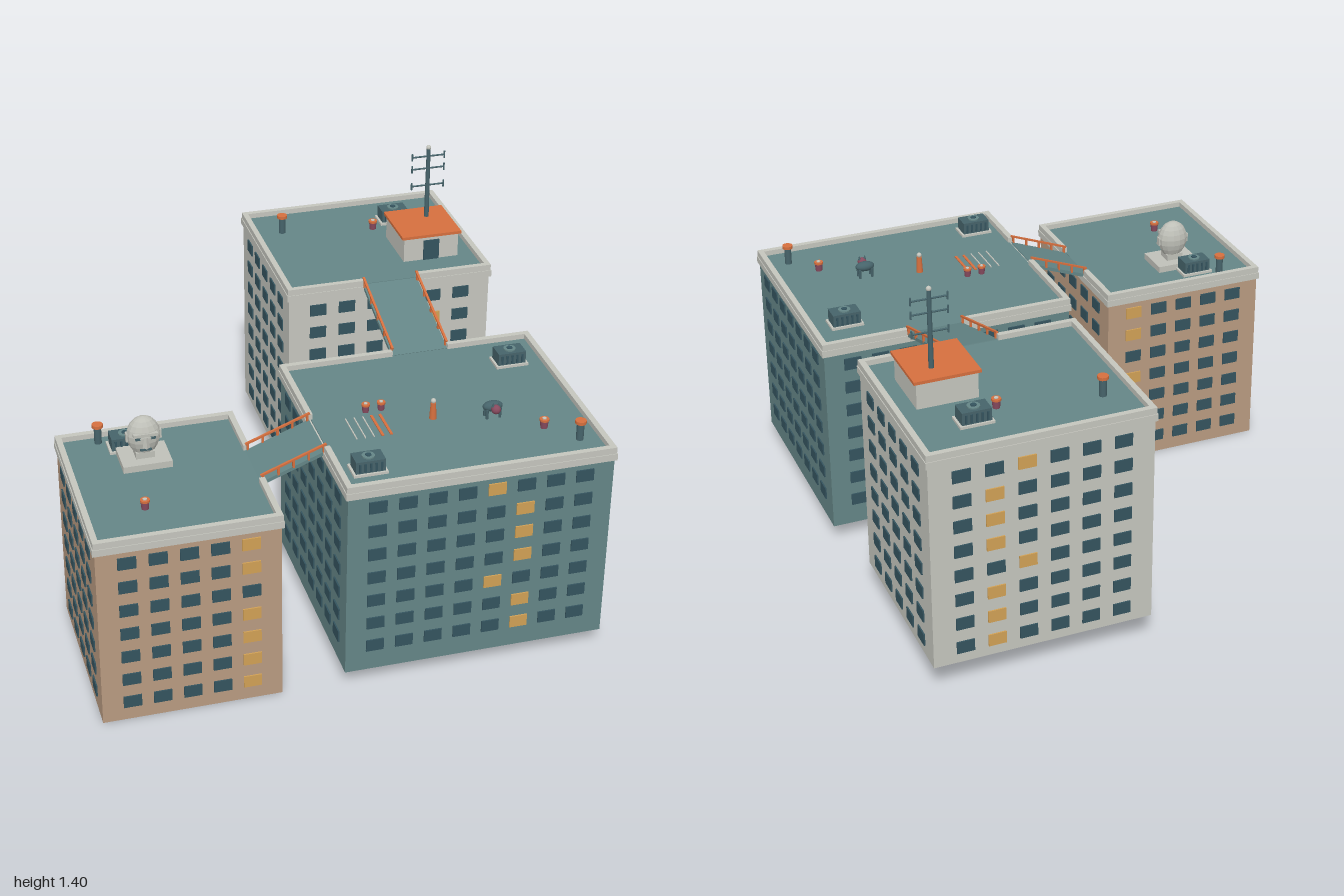
import * as THREE from 'three';

const mat = (name, color, flat = false) => Object.assign(new THREE.MeshStandardMaterial({ color, flatShading: flat }), { name });

export function createModel() {
  const root = new THREE.Group();
  root.name = 'rooftopBlocks';
  const M = {
    teal: mat('teal', 0x648586), tan: mat('tan', 0xb89a80), pale: mat('pale', 0xc4c5bd),
    stone: mat('stone', 0xbfc0b8, true), slate: mat('windowSlate', 0x34535e), amber: mat('litAmber', 0xd0a055),
    orange: mat('orange', 0xd56f3e), steel: mat('steel', 0x46636a), mauve: mat('mauve', 0x874a5e),
  };
  const group = (name, x = 0, y = 0, z = 0, parent = root) => {
    const g = new THREE.Group();
    g.name = name;
    g.position.set(x, y, z);
    parent.add(g);
    return g;
  };
  const add = (parent, name, geo, m, x, y, z) => {
    const mesh = new THREE.Mesh(geo, m);
    mesh.name = name;
    mesh.position.set(x, y, z);
    parent.add(mesh);
    return mesh;
  };
  const box = (p, name, m, w, h, d, x, y, z) => add(p, name, new THREE.BoxGeometry(w, h, d), m, x, y, z);
  const rod = (p, name, m, r, h, x, y, z, r2 = r, n = 12) => add(p, name, new THREE.CylinderGeometry(r2, r, h, n), m, x, y, z);
  const ball = (p, name, m, r, x, y, z, sx = 1, sy = 1, sz = 1) => {
    const b = add(p, name, new THREE.SphereGeometry(r, 14, 10), m, x, y, z);
    b.scale.set(sx, sy, sz);
    return b;
  };
  // box stretched from point a to point b
  const beam = (p, name, m, w, h, a, b) => {
    const mesh = box(p, name, m, w, h, a.distanceTo(b), 0, 0, 0);
    mesh.position.lerpVectors(a, b, 0.5);
    mesh.lookAt(b);
    return mesh;
  };

  // apartment block: walls, window grid, cornice and parapet with bridge gaps
  function block(o) {
    const [x0, x1] = o.x, [z0, z1] = o.z, w = x1 - x0, d = z1 - z0;
    const g = group(o.name, (x0 + x1) / 2, 0, (z0 + z1) / 2);
    box(g, 'walls', o.mat, w, o.roof - o.base, d, 0, (o.base + o.roof) / 2 - 0.005, 0).scale.y = 1 - 0.01 / (o.roof - o.base);
    g.children[0].position.y = (o.base + o.roof - 0.01) / 2;
    box(g, 'cornice', M.pale, w + 0.016, 0.027, d + 0.016, 0, o.roof - 0.0135, 0);
    box(g, 'roof', M.teal, w - 0.02, 0.004, d - 0.02, 0, o.roof + 0.002, 0);
    for (let s = 0; s < 4; s++) {
      const face = group('side', 0, 0, 0, g), alongX = s % 2 === 0;
      face.rotation.y = s * Math.PI / 2;
      const len = alongX ? w : d, off = (alongX ? d : w) / 2, n = alongX ? o.cols[0] : o.cols[1];
      for (let r = 0; r < o.rows; r++) for (let c = 0; c < n; c++) {
        const xi = s === 2 ? n - 1 - c : c;
        const lit = alongX && o.lit[r] === xi;
        box(face, lit ? 'litWindow' : 'window', lit ? M.amber : M.slate, 0.067, 0.048, 0.009,
          len * ((c + 1) / (n + 1) - 0.5), o.firstRow + 0.1 * (o.rows - 1 - r), off + 0.001);
      }
      // parapet runs, broken where a bridge lands
      const h = len / 2 + 0.005, gap = o.gaps[s];
      const runs = gap === undefined ? [[-h, h]] : [[-h, gap - 0.112], [gap + 0.112, h]];
      for (const [a, b] of runs) box(face, 'parapet', M.pale, b - a, 0.025, 0.022, (a + b) / 2, o.roof + 0.0125, off - 0.006);
    }
  }
  block({ name: 'tanBlock', mat: M.tan, x: [-0.952, -0.285], z: [0.238, 0.962], base: 0, roof: 0.755, cols: [5, 5],
    rows: 7, firstRow: 0.079, lit: [4, 4, -1, 4, 4, 4, 4], gaps: { 1: 0.003 } });
  block({ name: 'tealBlock', mat: M.teal, x: [-0.055, 0.945], z: [0.103, 0.992], base: 0.065, roof: 0.847, cols: [8, 7],
    rows: 7, firstRow: 0.172, lit: [4, 5, 5, 5, 4, 5, 5], gaps: { 2: -0.055, 3: 0.05 } });
  block({ name: 'paleBlock', mat: M.pale, x: [0.08, 0.918], z: [-0.991, -0.268], base: 0.118, roof: 0.963, cols: [6, 5],
    rows: 8, firstRow: 0.182, lit: [3, 4, 4, 4, 3, 4, 4, 4], gaps: { 0: 0.001 } });

  // sloping bridges with railings
  function bridge(name, a, b) {
    const g = group(name), side = new THREE.Vector3().subVectors(b, a).setY(0).normalize();
    side.set(-side.z, 0, side.x).multiplyScalar(0.11);
    const up = y => new THREE.Vector3(0, y, 0);
    beam(g, 'deck', M.teal, 0.225, 0.014, a.clone().add(up(-0.005)), b.clone().add(up(-0.005)));
    for (const s of [-1, 1]) {
      const o = side.clone().multiplyScalar(s).add(up(0.03));
      beam(g, 'handrail', M.orange, 0.009, 0.007, a.clone().add(o), b.clone().add(o));
      for (let i = 0; i < 5; i++) {
        const p = a.clone().lerp(b, 0.04 + 0.23 * i).add(o);
        box(g, 'railPost', M.orange, 0.008, 0.034, 0.008, p.x, p.y - 0.016, p.z);
      }
    }
  }
  bridge('lowBridge', new THREE.Vector3(-0.295, 0.756, 0.597), new THREE.Vector3(-0.05, 0.85, 0.597));
  bridge('highBridge', new THREE.Vector3(0.5, 0.85, 0.11), new THREE.Vector3(0.5, 0.966, -0.275));

  // stair house with orange roof and door
  const house = group('stairHouse', 0.72, 0.963, -0.536);
  box(house, 'houseWalls', M.pale, 0.23, 0.105, 0.236, 0, 0.0525, 0);
  box(house, 'houseRoof', M.orange, 0.25, 0.012, 0.252, 0, 0.111, 0);
  box(house, 'door', M.slate, 0.066, 0.088, 0.008, 0, 0.046, 0.119);

  // antenna mast
  const mast = group('antenna', 0.752, 1.08, -0.58);
  rod(mast, 'mastPole', M.steel, 0.01, 0.305, 0, 0.152, 0, 0.008);
  ball(mast, 'mastTip', M.pale, 0.01, 0, 0.306, 0);
  for (const y of [0.14, 0.215, 0.268]) {
    rod(mast, 'crossbar', M.steel, 0.0035, 0.14, 0, y, 0).rotation.z = Math.PI / 2;
    for (const x of [-0.068, 0.068]) rod(mast, 'barEnd', M.steel, 0.0035, 0.03, x, y, 0);
  }

  // capped vent pipes
  for (const [x, y, z] of [[0.2, 0.963, -0.81], [0.855, 0.847, 0.875], [-0.805, 0.755, 0.29]]) {
    const g = group('ventPipe', x, y, z);
    rod(g, 'pipe', M.steel, 0.014, 0.072, 0, 0.036, 0);
    rod(g, 'pipeCap', M.orange, 0.021, 0.012, 0, 0.078, 0);
  }
  // air units with fan
  for (const [x, y, z] of [[0.68, 0.963, -0.802], [0.805, 0.847, 0.278], [0.055, 0.847, 0.87], [-0.715, 0.755, 0.345]]) {
    const g = group('airUnit', x, y, z);
    box(g, 'unitBody', M.steel, 0.11, 0.058, 0.07, 0, 0.033, 0);
    box(g, 'unitBase', M.pale, 0.128, 0.012, 0.085, 0, 0.008, 0);
    rod(g, 'fanRing', M.teal, 0.024, 0.006, 0, 0.064, 0);
    rod(g, 'fanHub', M.slate, 0.012, 0.004, 0, 0.068, 0, 0.012, 6);
    for (let i = -2; i <= 2; i++) for (const s of [-1, 1]) box(g, 'louvre', M.slate, 0.008, 0.034, 0.004, i * 0.02, 0.036, s * 0.036);
  }
  // potted plants
  for (const [x, y, z, k] of [[0.575, 0.963, -0.745, 1], [0.76, 0.847, 0.765, 1], [-0.73, 0.755, 0.765, 1],
    [0.165, 0.847, 0.485, 0.9], [0.225, 0.847, 0.485, 0.9]]) {
    const g = group('pot', x, y, z);
    g.scale.setScalar(k);
    rod(g, 'potBody', M.mauve, 0.013, 0.036, 0, 0.018, 0, 0.016);
    rod(g, 'potRim', M.orange, 0.018, 0.008, 0, 0.038, 0);
    rod(g, 'potTop', M.pale, 0.008, 0.004, 0, 0.043, 0);
  }
  // standing orange figure
  const fig = group('figure', 0.39, 0.847, 0.595);
  rod(fig, 'figureBody', M.orange, 0.014, 0.07, 0, 0.035, 0, 0.01);
  ball(fig, 'figureHead', M.pale, 0.01, 0, 0.078, 0);
  // painted strips on the roof
  for (let i = 0; i < 5; i++) {
    const warm = i > 2;
    box(root, 'roofStrip', warm ? M.orange : M.pale, warm ? 0.01 : 0.004, 0.004, 0.145, 0.077 + i * 0.033, 0.853, 0.593);
  }

  // small four-legged animal
  const pet = group('animal', 0.605, 0.85, 0.64);
  ball(pet, 'animalBody', M.steel, 0.026, 0, 0.046, 0, 1.5, 0.75, 0.9);
  ball(pet, 'animalHead', M.mauve, 0.018, 0, 0.05, 0.035);
  for (const s of [-1, 1]) {
    rod(pet, 'ear', M.steel, 0.006, 0.016, s * 0.011, 0.069, 0.033, 0.001, 6);
    for (const z of [-0.013, 0.013]) rod(pet, 'leg', M.steel, 0.005, 0.04, s * 0.025, 0.02, z, 0.006, 6);
  }

  // stone head on a plinth, jaw narrowed towards the chin
  const statue = group('stoneHead', -0.666, 0.755, 0.452);
  box(statue, 'plinth', M.stone, 0.182, 0.03, 0.146, 0, 0.015, 0);
  const skull = new THREE.SphereGeometry(1, 14, 11), p = skull.attributes.position;
  for (let i = 0; i < p.count; i++) {
    const y = p.getY(i), k = y < 0 ? 1 + 0.18 * y : 1;
    p.setXYZ(i, p.getX(i) * 0.064 * k, y * 0.081, p.getZ(i) * 0.048 * k);
  }
  skull.computeVertexNormals();
  add(statue, 'skull', skull, M.stone, 0, 0.11, 0);
  box(statue, 'neck', M.stone, 0.07, 0.03, 0.06, 0, 0.04, 0);
  box(statue, 'brow', M.stone, 0.09, 0.012, 0.016, 0, 0.135, 0.04);
  rod(statue, 'nose', M.stone, 0.014, 0.042, 0, 0.108, 0.05, 0.006, 4);
  box(statue, 'mouth', M.steel, 0.042, 0.008, 0.008, 0, 0.073, 0.039);
  for (const s of [-1, 1]) {
    box(statue, 'eye', M.steel, 0.025, 0.013, 0.008, s * 0.025, 0.122, 0.04);
    box(statue, 'headEar', M.stone, 0.01, 0.034, 0.02, s * 0.061, 0.112, 0);
  }
  return root;
}
